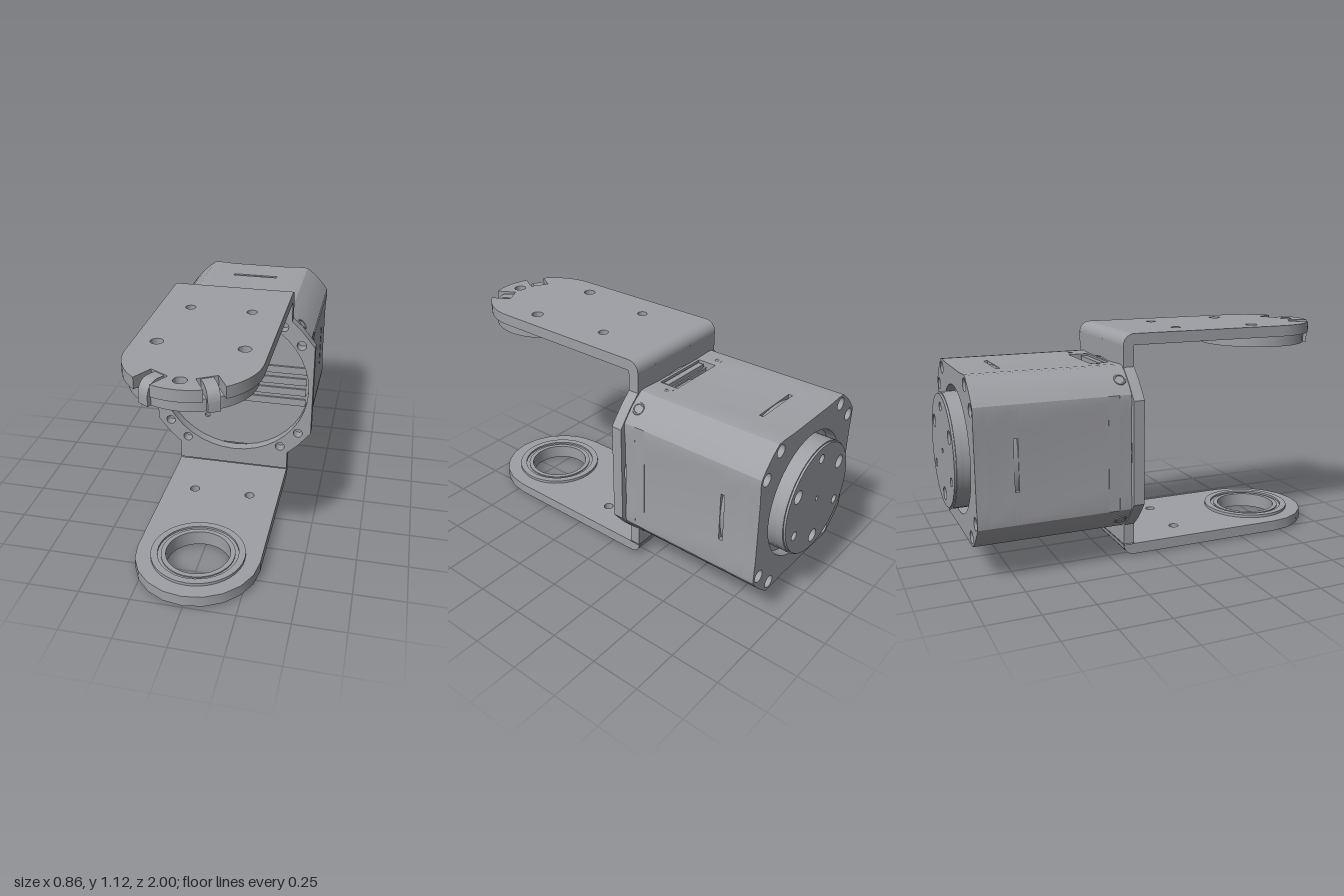
import * as THREE from 'three';
import { toCreasedNormals } from 'three/addons/utils/BufferGeometryUtils.js';

const CY = 0.567;      // height of the motor axis
const PIVOT_Z = 0.695; // z of the output pivot
const HALF_W = 0.305;  // half width of the bracket arms

export function createModel() {
  const model = new THREE.Group();
  const metal = new THREE.MeshStandardMaterial({ color: 0x9fa0a5 });
  metal.name = 'grey metal';

  const add = (name, geometry, parent = model) => {
    const mesh = new THREE.Mesh(toCreasedNormals(geometry, 0.5), metal);
    mesh.name = name;
    parent.add(mesh);
    return mesh;
  };
  const group = (name) => {
    const g = new THREE.Group();
    g.name = name;
    model.add(g);
    return g;
  };
  const polygon = (pts) => new THREE.Shape(pts.map(([x, y]) => new THREE.Vector2(x, y)));
  const circle = (r, x = 0, y = 0) => new THREE.Shape().absarc(x, y, r, 0, Math.PI * 2, false);
  const extrude = (shape, depth) =>
    new THREE.ExtrudeGeometry(shape, { depth, bevelEnabled: false, curveSegments: 20 });
  // Slice of the motor along z, drawn around its axis
  const slice = (shape, z0, z1) => extrude(shape, z1 - z0).translate(0, CY, z0);
  // Horizontal plate, drawn in x and z
  const slab = (shape, y0, y1) => extrude(shape, y1 - y0).rotateX(Math.PI / 2).translate(0, y1, 0);

  // Eight screw positions around the axis
  const screws = [];
  for (const sx of [-1, 1]) for (const sy of [-1, 1]) {
    screws.push([sx * 0.36, sy * 0.263], [sx * 0.263, sy * 0.36]);
  }

  // Rounded square outline; notches[k] replaces the middle of side k
  const bodyOutline = (notches = []) => {
    const pts = [];
    for (let k = 0; k < 4; k++) {
      const c = Math.cos(k * Math.PI / 2), s = Math.sin(k * Math.PI / 2);
      const side = [[0.405, -0.25], [0.4, -0.16], ...(notches[k] || []), [0.4, 0.16], [0.405, 0.25]];
      for (let d = 35; d <= 55; d += 5) {
        const a = d * Math.PI / 180;
        side.push([0.491 * Math.cos(a), 0.491 * Math.sin(a)]);
      }
      side.forEach(([x, y]) => pts.push([x * c - y * s, x * s + y * c]));
    }
    return polygon(pts);
  };

  // Motor housing
  const housing = group('motorHousing');
  const face = bodyOutline();
  face.holes.push(circle(0.014, -0.16, 0.33 - CY));
  add('frontCover', slice(face, -0.2, -0.185), housing);
  const recess = [[0.4, -0.155], [0.37, -0.155], [0.37, 0.155], [0.4, 0.155]];
  add('frontCoverBack', slice(bodyOutline([null, recess, null, recess]), -0.245, -0.2), housing);

  // Cable channel left open between two side walls
  for (const s of [1, -1]) {
    const half = [[0.155, -0.4], [0.25, -0.405]];
    for (let d = -55; d <= 55; d += 5) {
      if (Math.abs(d) < 35) continue;
      const a = d * Math.PI / 180;
      half.push([0.491 * Math.cos(a), 0.491 * Math.sin(a)]);
    }
    half.push([0.25, 0.405], [0.155, 0.4]);
    add('channelWall', slice(polygon(half.map(([x, y]) => [s * x, y])), -0.3, -0.245), housing);
  }
  for (const s of [1, -1]) {
    add('cableConnector', new THREE.BoxGeometry(0.28, 0.025, 0.03).translate(0, CY + s * 0.38, -0.222), housing);
  }
  add('cablePlug', new THREE.BoxGeometry(0.16, 0.12, 0.025).translate(0.06, CY + 0.3, -0.257), housing);

  // Main barrel with an arc-bottomed slot on every side
  const slot = [[0.4, -0.125]];
  for (let i = -4; i <= 4; i++) {
    const u = i * 0.125 / 4;
    slot.push([Math.sqrt(0.396 ** 2 - u * u), u]);
  }
  slot.push([0.4, 0.125]);
  add('barrelFront', slice(bodyOutline(), -0.735, -0.3), housing);
  add('barrelSlots', slice(bodyOutline([slot, slot, slot, slot]), -0.755, -0.735), housing);
  add('barrelRear', slice(bodyOutline(), -0.88, -0.755), housing);
  const rear = bodyOutline();
  rear.holes.push(circle(0.315), ...screws.map(([x, y]) => circle(0.031, x, y)));
  add('rearCover', slice(rear, -0.935, -0.88), housing);

  // Corner screw rims and small pin rims
  for (let k = 0; k < 4; k++) {
    const a = Math.PI / 4 + k * Math.PI / 2;
    add('cornerScrewRim', new THREE.TorusGeometry(0.026, 0.006, 6, 20).rotateY(Math.PI / 2)
      .translate(0.489, 0, 0).rotateZ(a).translate(0, CY, -0.222), housing);
  }
  for (const x of [-0.205, 0.205]) for (const y of [-0.401, 0.401]) {
    add('pinRim', new THREE.TorusGeometry(0.01, 0.003, 6, 12).rotateX(Math.PI / 2)
      .translate(x, CY + y, -0.275), housing);
  }

  // Cooling ribs across the front cover
  for (const y of [0.47, 0.532, 0.595, 0.66]) {
    add('coolingRib', new THREE.BoxGeometry(0.776, 0.04, 0.012).translate(0, y, -0.18), housing);
  }

  // Rear output disc with alternating large and small holes
  const disc = group('rearDisc');
  const discFace = (r) => {
    const shape = circle(r);
    shape.holes.push(circle(0.012));
    for (let k = 0; k < 6; k++) {
      const a = Math.PI / 2 + k * Math.PI / 3;
      shape.holes.push(circle(k % 2 ? 0.033 : 0.022, 0.215 * Math.cos(a), 0.215 * Math.sin(a)));
    }
    return shape;
  };
  add('discBase', slice(circle(0.283), -0.955, -0.88), disc);
  add('discBody', slice(discFace(0.283), -0.99, -0.955), disc);
  add('discEdge', slice(discFace(0.276), -1.0, -0.99), disc);

  // Bracket flange with a round opening and necks to both arms
  const bracket = group('bracket');
  const quarter = [[0.43, 0.255], [0.405, 0.288], [0.36, 0.343], [HALF_W, 0.395], [HALF_W, 0.4985]];
  const flip = (sx, sy) => quarter.map(([x, y]) => [sx * x, sy * y]);
  const flange = polygon([...flip(1, 1), ...flip(-1, 1).reverse(), ...flip(-1, -1), ...flip(1, -1).reverse()]);
  const opening = new THREE.Path().absarc(0, 0, 0.407, 0, Math.PI * 2, false);
  flange.holes.push(opening, ...screws.map(([x, y]) => circle(0.025, x, y)));
  add('flange', slice(flange, -0.185, -0.13), bracket);

  // Rounded bends
  for (const [y, start] of [[1.065, Math.PI / 2], [0.065, Math.PI]]) {
    add('bend', new THREE.CylinderGeometry(0.055, 0.055, HALF_W * 2, 8, 1, false, start, Math.PI / 2)
      .rotateZ(Math.PI / 2).translate(0, y, -0.13), bracket);
  }

  // Arms with round ends; slotAngles cut notches into the rim
  const hookAngles = [Math.PI / 3, Math.PI * 2 / 3];
  const armShape = (slotAngles) => {
    const pts = [[-HALF_W, -0.13], [HALF_W, -0.13]];
    const w = 0.048, da = Math.asin(w / HALF_W);
    const arc = (a0, a1) => {
      for (let i = 0; i <= 10; i++) {
        const a = a0 + (a1 - a0) * i / 10;
        pts.push([HALF_W * Math.cos(a), PIVOT_Z + HALF_W * Math.sin(a)]);
      }
    };
    let from = 0;
    for (const a of slotAngles) {
      arc(from, a - da);
      for (const s of [-1, 1]) {
        pts.push([0.2 * Math.cos(a) - s * w * Math.sin(a), PIVOT_Z + 0.2 * Math.sin(a) + s * w * Math.cos(a)]);
      }
      from = a + da;
    }
    arc(from, Math.PI);
    const shape = polygon(pts);
    shape.holes.push(circle(0.025, 0.15, 0.165), circle(0.025, -0.15, 0.165));
    return shape;
  };
  const upper = armShape(hookAngles);
  upper.holes.push(circle(0.03, 0.197, 0.577), circle(0.03, -0.197, 0.577), circle(0.03, 0, 0.918));
  add('upperArm', slab(upper, 1.065, 1.12), bracket);
  const lower = armShape([]);
  lower.holes.push(circle(0.2, 0, PIVOT_Z));
  add('lowerArm', slab(lower, 0.01, 0.065), bracket);

  // Output disc under the upper arm
  const horn = circle(0.28, 0, PIVOT_Z);
  for (let k = 0; k < 6; k++) {
    const a = Math.PI / 2 + k * Math.PI / 3;
    horn.holes.push(circle(0.028, 0.225 * Math.cos(a), PIVOT_Z + 0.225 * Math.sin(a)));
  }
  add('hornDiscTop', slab(circle(0.28, 0, PIVOT_Z), 1.045, 1.066), bracket);
  add('hornDiscFace', slab(horn, 1.01, 1.045), bracket);

  // Curved clips in the rim notches
  const clip = new THREE.Shape().moveTo(0.2, 1.06).lineTo(0.265, 1.06).lineTo(0.265, 1.01).lineTo(0.297, 1.01)
    .lineTo(0.297, 1.05).quadraticCurveTo(0.292, 1.115, 0.235, 1.116).lineTo(0.2, 1.116);
  for (const a of hookAngles) {
    add('clip', extrude(clip, 0.055).translate(0, 0, -0.0275).rotateY(-a).translate(0, 0, PIVOT_Z), bracket);
  }

  // Stepped bearing ring in the lower arm
  const ring = [[0.157, 0], [0.215, 0], [0.215, 0.04], [0.23, 0.04], [0.23, 0.08], [0.197, 0.08],
    [0.197, 0.07], [0.18, 0.07], [0.18, 0.076], [0.157, 0.076], [0.157, 0]];
  add('bearingRing', new THREE.LatheGeometry(ring.map(([r, y]) => new THREE.Vector2(r, y)), 40)
    .translate(0, 0, PIVOT_Z), bracket);

  return model;
}
